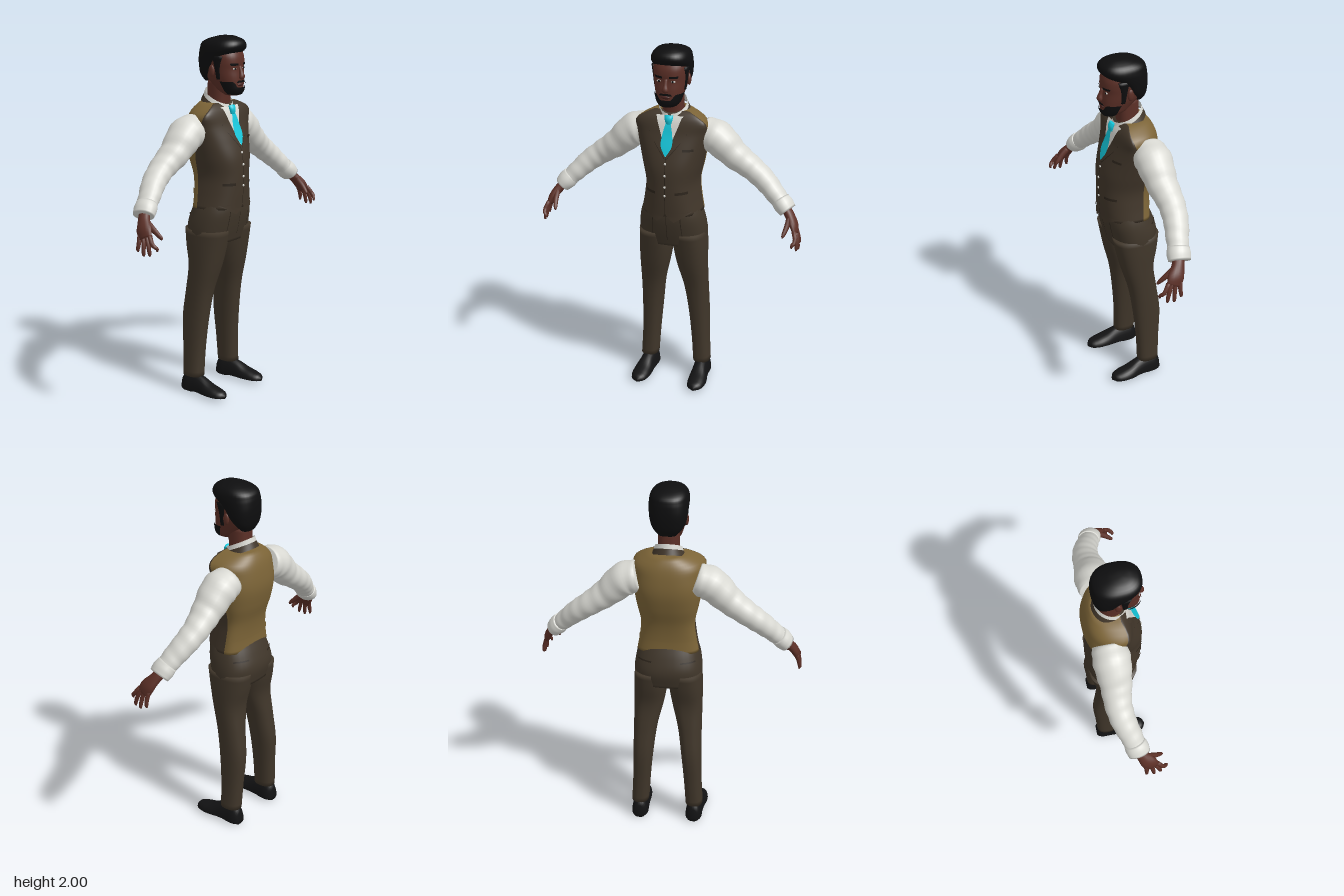
import * as THREE from 'three';
import { mergeVertices } from 'three/addons/utils/BufferGeometryUtils.js';

const mat = (name, color) => Object.assign(new THREE.MeshStandardMaterial({ color }), { name });
const M = {
  skin: mat('skin', 0x5c3027), hair: mat('black hair', 0x0e0e0f), shoe: mat('shoe leather', 0x131314),
  vest: mat('brown vest cloth', 0x41362a), lining: mat('gold vest back', 0x7c6437),
  trousers: mat('trouser cloth', 0x40362a), shirt: mat('white shirt', 0xd8d8d2),
  tie: mat('cyan tie', 0x14c8dc), lip: mat('lip', 0x48231f), dark: mat('vest seam', 0x2c241b),
};
M.shirt.side = THREE.DoubleSide;
M.vest.side = THREE.DoubleSide;

// Smooth interpolation through rows whose first number is the position
const spline = rows => {
  const it = new THREE.CubicInterpolant(rows.map(r => r[0]), rows.flat(), rows[0].length);
  return t => [...it.evaluate(t)];
};

// Grid surface from fn(u, v) -> [x, y, z]
function surface(fn, nu, nv) {
  const pos = [], idx = [];
  for (let j = 0; j <= nv; j++) for (let i = 0; i <= nu; i++) pos.push(...fn(i / nu, j / nv));
  for (let j = 0; j < nv; j++) for (let i = 0; i < nu; i++) {
    const a = j * (nu + 1) + i, b = a + nu + 1;
    idx.push(a, b, a + 1, a + 1, b, b + 1);
  }
  let g = new THREE.BufferGeometry();
  g.setAttribute('position', new THREE.Float32BufferAttribute(pos, 3));
  g.setIndex(idx);
  g = mergeVertices(g, 1e-5);
  g.computeVertexNormals();
  return g;
}

// Horizontal ring: row = [y, centre x, half width, centre z, front z, back z]
const N = 2.4;
const pw = v => Math.sign(v) * Math.abs(v) ** (2 / N);
function ring([y, cx, rx, cz, zf, zb], a, off = 0) {
  const c = pw(Math.cos(a)), s = pw(Math.sin(a));
  return [cx + (Math.max(rx, 0.002) + off) * c, y, cz + (s > 0 ? zf - cz + off : cz - zb + off) * s];
}
const frontZ = (f, x, y) => {
  const [, cx, rx, cz, zf] = f(y);
  return cz + (zf - cz) * Math.max(0, 1 - Math.min(1, Math.abs(x - cx) / rx) ** N) ** (1 / N);
};
// Closed stack of horizontal rings, over the angles a0..a1
function loft(rows, nv, a0 = 0, a1 = Math.PI * 2, nu = 36) {
  const f = spline(rows), y0 = rows[0][0], y1 = rows[rows.length - 1][0];
  return surface((u, v) => {
    const k = v * (nv + 2), r = f(y0 + (y1 - y0) * THREE.MathUtils.clamp((k - 1) / nv, 0, 1));
    if (k < 0.5 || k > nv + 1.5) return [r[1], r[0], r[3]];
    return ring(r, a0 + (a1 - a0) * u);
  }, nu, nv + 2);
}
// Thin patch lying on the front of a ring stack: rows = [y, x0, x1]
function patch(f, rows, off, nv = 12) {
  const g = spline(rows), y0 = rows[0][0], y1 = rows[rows.length - 1][0];
  return surface((u, v) => {
    const [y, a, b] = g(y0 + (y1 - y0) * v), x = b + (a - b) * u;
    return [x, y, frontZ(f, x, y) + off];
  }, 10, nv);
}
// Tapered limb along a path: pts = [x, y, z, thickness, depth]
function limb(pts, nv = 12, nu = 14, ripple = 0) {
  const f = spline(pts.map((p, i) => [i, ...p])), n = pts.length - 1, Z = new THREE.Vector3();
  return surface((u, v) => {
    const k = v * (nv + 2), t = n * THREE.MathUtils.clamp((k - 1) / nv, 0, 1);
    const [, x, y, z, r, d] = f(t);
    if (k < 0.5 || k > nv + 1.5) return [x, y, z];
    const p = f(Math.max(0, t - 0.05)), q = f(Math.min(n, t + 0.05));
    const T = new THREE.Vector3(q[1] - p[1], q[2] - p[2], q[3] - p[3]).normalize();
    Z.set(0, 0, 1).addScaledVector(T, -T.z).normalize();
    const A = T.clone().cross(Z), a = u * Math.PI * 2;
    const w = 1 + ripple * Math.sin(t * 9 + 1.5 * Math.sin(a));
    return new THREE.Vector3(x, y, z).addScaledVector(A, r * w * Math.cos(a)).addScaledVector(Z, d * w * Math.sin(a)).toArray();
  }, nu, nv + 2);
}
const blob = (x, y, z, a, b, c) => new THREE.SphereGeometry(1, 16, 10).scale(a, b, c).translate(x, y, z);

export function createModel() {
  const root = new THREE.Group();
  root.name = 'man in vest';
  const add = (name, geo, m) => {
    const mesh = new THREE.Mesh(geo, m);
    mesh.name = name;
    root.add(mesh);
  };
  const pair = (name, geo, m) => {
    add(name + 'Left', geo, m);
    const g = geo.clone().scale(-1, 1, 1);
    g.setIndex([...geo.index.array].reverse());
    g.computeVertexNormals();
    add(name + 'Right', g, m);
  };
  const PI = Math.PI;

  // Vest: brown front and gold back meet at the side seams
  const torsoRows = [
    [1.075, 0, 0.17, -0.03, 0.148, -0.108], [1.16, 0, 0.155, -0.035, 0.153, -0.106],
    [1.25, 0, 0.147, -0.04, 0.155, -0.118], [1.35, 0, 0.167, -0.04, 0.15, -0.148],
    [1.45, 0, 0.186, -0.02, 0.122, -0.166], [1.53, 0, 0.193, 0.015, 0.093, -0.16],
    [1.59, 0, 0.19, 0.04, 0.075, -0.145], [1.62, 0, 0.15, 0.042, 0.06, -0.13], [1.645, 0, 0.095, 0.025, 0.035, -0.11]];
  const torso = spline(torsoRows);
  add('vestFront', loft(torsoRows, 36, 0, PI), M.vest);
  add('vestBack', loft(torsoRows, 36, PI, PI * 2), M.lining);
  add('backStrap', surface((u, v) => ring(torso(1.15 + 0.03 * v), PI * (1.08 + 0.84 * u), 0.004), 24, 2), M.lining);
  pair('vestPoint', patch(torso, [[1.045, 0.045, 0.05], [1.075, 0.012, 0.1], [1.1, 0.003, 0.14]], 0.004), M.vest);
  pair('waistPocket', patch(torso, [[1.205, 0.055, 0.115], [1.22, 0.055, 0.115]], 0.004, 2), M.dark);
  add('chestPocket', patch(torso, [[1.445, 0.085, 0.14], [1.458, 0.085, 0.14]], 0.004, 2), M.dark);
  add('vestOpening', patch(torso, [[1.08, -0.002, 0.002], [1.42, -0.002, 0.002]], 0.003), M.dark);
  for (const y of [1.2, 1.25, 1.315, 1.38])
    add('vestButton', blob(0, y, frontZ(torso, 0, y) + 0.004, 0.007, 0.007, 0.004), M.shirt);

  // Shirt front, lapels and tie
  add('shirtFront', patch(torso, [[1.415, 0, 0], [1.52, -0.036, 0.036], [1.625, -0.075, 0.075]], 0.004), M.shirt);
  pair('lapel', patch(torso, [[1.41, 0, 0.004], [1.48, 0.022, 0.062], [1.54, 0.042, 0.1], [1.555, 0.048, 0.085], [1.62, 0.07, 0.1]], 0.009, 24), M.vest);
  pair('lapelEdge', patch(torso, [[1.405, 0.003, 0.007], [1.48, 0.06, 0.066], [1.54, 0.098, 0.104]], 0.007), M.dark);
  add('tieBlade', patch(torso, [[1.42, -0.002, 0.002], [1.47, -0.03, 0.03], [1.52, -0.029, 0.029], [1.59, -0.014, 0.014]], 0.014), M.tie);
  add('tieKnot', limb([[0, 1.585, 0.083, 0.015, 0.01], [0, 1.61, 0.082, 0.022, 0.014], [0, 1.63, 0.074, 0.024, 0.01]]), M.tie);

  // Collar: a tilted band with two front points
  const collar = (a, v, off, drop) => {
    const top = 1.675 - 0.04 * Math.sin(a), r = 0.072 + off + 0.014 * (1 - v);
    return [r * Math.cos(a), top - drop * (1 - v), -0.012 + (r + 0.004) * Math.sin(a)];
  };
  add('shirtCollar', surface((u, v) => {
    const a = PI / 2 + 0.1 + (PI * 2 - 0.2) * u, d = Math.min(u, 1 - u) * 6.08;
    return collar(a, v, 0, 0.045 + 0.025 * Math.exp(-(((d - 0.4) / 0.25) ** 2)));
  }, 60, 5), M.shirt);
  add('vestCollar', surface((u, v) => {
    const p = collar(PI * (0.93 + 1.14 * u), v, 0.008, 0.03);
    return [p[0], p[1] - 0.024, p[2]];
  }, 30, 3), M.vest);

  // Arms
  pair('sleeve', limb([[0.155, 1.51, -0.05, 0.085, 0.09], [0.235, 1.485, -0.052, 0.092, 0.1], [0.33, 1.4, -0.052, 0.077, 0.085],
    [0.42, 1.335, -0.058, 0.066, 0.073], [0.5, 1.275, -0.045, 0.06, 0.067], [0.57, 1.21, -0.018, 0.052, 0.06],
    [0.625, 1.155, 0, 0.046, 0.054]], 50, 24, 0.022), M.shirt);
  pair('cuff', limb([[0.597, 1.187, -0.01, 0.05, 0.058], [0.62, 1.162, 0, 0.053, 0.064], [0.645, 1.135, 0.008, 0.046, 0.06]], 8, 24), M.shirt);
  pair('palm', limb([[0.63, 1.15, 0.005, 0.026, 0.032], [0.66, 1.115, 0.025, 0.025, 0.034], [0.688, 1.075, 0.05, 0.022, 0.044],
    [0.703, 1.035, 0.07, 0.014, 0.04]]), M.skin);
  const fingers = [[0.106, 0.7, 0.98, 0.146], [0.084, 0.718, 0.953, 0.112], [0.06, 0.722, 0.948, 0.075], [0.038, 0.72, 0.965, 0.035]];
  for (const [z, x, y, zt] of fingers)
    pair('finger', limb([[0.698, 1.055, z - 0.008, 0.012, 0.012], [0.712, 1.015, z + (zt - z) * 0.5, 0.011, 0.012],
      [x, y + 0.015, zt, 0.009, 0.01], [x - 0.002, y, zt, 0.004, 0.005]], 8, 8), M.skin);
  pair('thumb', limb([[0.662, 1.11, 0.045, 0.016, 0.02], [0.658, 1.075, 0.088, 0.014, 0.016], [0.648, 1.04, 0.125, 0.01, 0.011],
    [0.645, 1.028, 0.135, 0.004, 0.005]], 8, 8), M.skin);

  // Trousers
  const hipRows = [[0.88, 0, 0.186, -0.02, 0.098, -0.14], [0.97, 0, 0.187, -0.015, 0.122, -0.155],
    [1.05, 0, 0.175, 0, 0.136, -0.132], [1.13, 0, 0.15, 0, 0.135, -0.095]];
  add('hips', loft(hipRows, 16), M.trousers);
  pair('leg', loft([[0.1, 0.157, 0.049, -0.065, -0.008, -0.13], [0.25, 0.148, 0.05, -0.07, -0.004, -0.136],
    [0.44, 0.137, 0.057, -0.068, 0.012, -0.145], [0.6, 0.125, 0.067, -0.045, 0.034, -0.126], [0.75, 0.107, 0.085, -0.025, 0.073, -0.112],
    [0.86, 0.098, 0.093, -0.02, 0.097, -0.135], [0.95, 0.096, 0.09, -0.015, 0.115, -0.148]], 30), M.trousers);
  const hips = spline(hipRows);
  pair('pleat', patch(hips, [[0.93, 0.085, 0.088], [1.06, 0.075, 0.08]], 0.002), M.dark);
  add('fly', patch(hips, [[0.92, -0.001, 0.002], [1.08, -0.001, 0.002]], 0.002), M.dark);
  add('hipPocket', surface((u, v) => ring(hips(1.03 + 0.008 * v), PI * (1.62 + 0.2 * u), 0.004), 8, 2), M.dark);
  add('hipPocketMirror', surface((u, v) => ring(hips(1.03 + 0.008 * v), PI * (1.18 + 0.2 * u), 0.004), 8, 2), M.dark);

  // Shoes: sections run from heel to toe as [z, centre x, half width, height]
  const shoe = spline([[-0.135, 0.157, 0.03, 0.08], [-0.115, 0.157, 0.043, 0.112], [-0.05, 0.158, 0.046, 0.115], [0.0, 0.161, 0.047, 0.1],
    [0.06, 0.166, 0.053, 0.072], [0.12, 0.168, 0.047, 0.055], [0.155, 0.168, 0.028, 0.042], [0.165, 0.168, 0.008, 0.03]]);
  pair('shoe', surface((u, v) => {
    const k = v * 26, [z, cx, w, h] = shoe(-0.135 + 0.3 * THREE.MathUtils.clamp((k - 1) / 24, 0, 1));
    if (k < 0.5 || k > 25.5) return [cx, 0.02, z];
    const a = u * PI * 2, s = Math.sin(a), lift = 0.012 * THREE.MathUtils.smoothstep(z, -0.06, -0.03);
    return [cx - w * pw(Math.cos(a)), s > 0 ? 0.02 + (h - 0.02) * s : 0.02 + (0.02 - lift) * pw(s), z];
  }, 28, 26), M.shoe);

  // Neck and head
  add('neck', loft([[1.56, 0, 0.062, -0.01, 0.045, -0.07], [1.65, 0, 0.058, -0.008, 0.046, -0.072],
    [1.77, 0, 0.058, 0, 0.06, -0.07]], 8), M.skin);
  const headRows = [[1.688, 0, 0.035, 0.085, 0.12, 0.04], [1.71, 0, 0.056, 0.065, 0.134, 0], [1.745, 0, 0.07, 0.05, 0.137, -0.04],
    [1.785, 0, 0.082, 0.03, 0.136, -0.075], [1.83, 0, 0.089, 0.02, 0.131, -0.09], [1.865, 0, 0.093, 0.015, 0.134, -0.095],
    [1.905, 0, 0.093, 0.01, 0.127, -0.095], [1.945, 0, 0.075, 0.01, 0.1, -0.075], [1.965, 0, 0.05, 0.01, 0.06, -0.05]];
  const head = spline(headRows);
  add('head', loft(headRows, 32), M.skin);
  add('nose', limb([[0, 1.845, 0.13, 0.01, 0.008], [0, 1.815, 0.138, 0.011, 0.012], [0, 1.79, 0.144, 0.018, 0.016],
    [0, 1.778, 0.14, 0.014, 0.008]], 10), M.skin);
  pair('ear', blob(0.093, 1.82, 0.012, 0.01, 0.032, 0.018), M.skin);
  pair('eye', blob(0.037, 1.833, frontZ(head, 0.037, 1.833) - 0.001, 0.014, 0.006, 0.005), M.shirt);
  pair('iris', blob(0.037, 1.833, frontZ(head, 0.037, 1.833) + 0.003, 0.006, 0.006, 0.002), M.hair);
  pair('eyebrow', patch(head, [[1.85, 0.018, 0.06], [1.862, 0.02, 0.066]], 0.004, 3), M.hair);
  add('lips', blob(0, 1.748, 0.136, 0.024, 0.009, 0.007), M.lip);

  // Beard, moustache and hair
  add('beard', surface((u, v) => {
    const a = PI * (0.04 + 0.92 * u), x = Math.abs(Math.cos(a));
    const top = 1.733 + 0.032 * THREE.MathUtils.smoothstep(x, 0.3, 0.6);
    const p = ring(head(1.688 + (top - 1.688) * v), a, 0.007);
    return v === 0 ? [p[0] * 0.4, 1.686, 0.08 + (p[2] - 0.08) * 0.5] : p;
  }, 36, 10), M.hair);
  add('moustache', patch(head, [[1.759, -0.036, 0.036], [1.77, -0.026, 0.026]], 0.007, 3), M.hair);
  add('hair', loft([[1.755, 0, 0.045, -0.06, -0.03, -0.085], [1.79, 0, 0.078, -0.05, -0.01, -0.102],
    [1.83, 0, 0.096, -0.03, 0.02, -0.11], [1.87, 0, 0.102, -0.02, 0.055, -0.113], [1.905, 0, 0.105, 0, 0.105, -0.112],
    [1.935, 0, 0.105, 0.02, 0.14, -0.108], [1.965, 0, 0.096, 0.02, 0.142, -0.094], [1.985, 0, 0.075, 0.03, 0.122, -0.055],
    [2.0, 0, 0.035, 0.045, 0.085, 0]], 34), M.hair);
  pair('sideburn', limb([[0.086, 1.9, 0.045, 0.014, 0.035], [0.086, 1.84, 0.045, 0.009, 0.018], [0.08, 1.775, 0.048, 0.006, 0.012]], 8), M.hair);
  return root;
}
